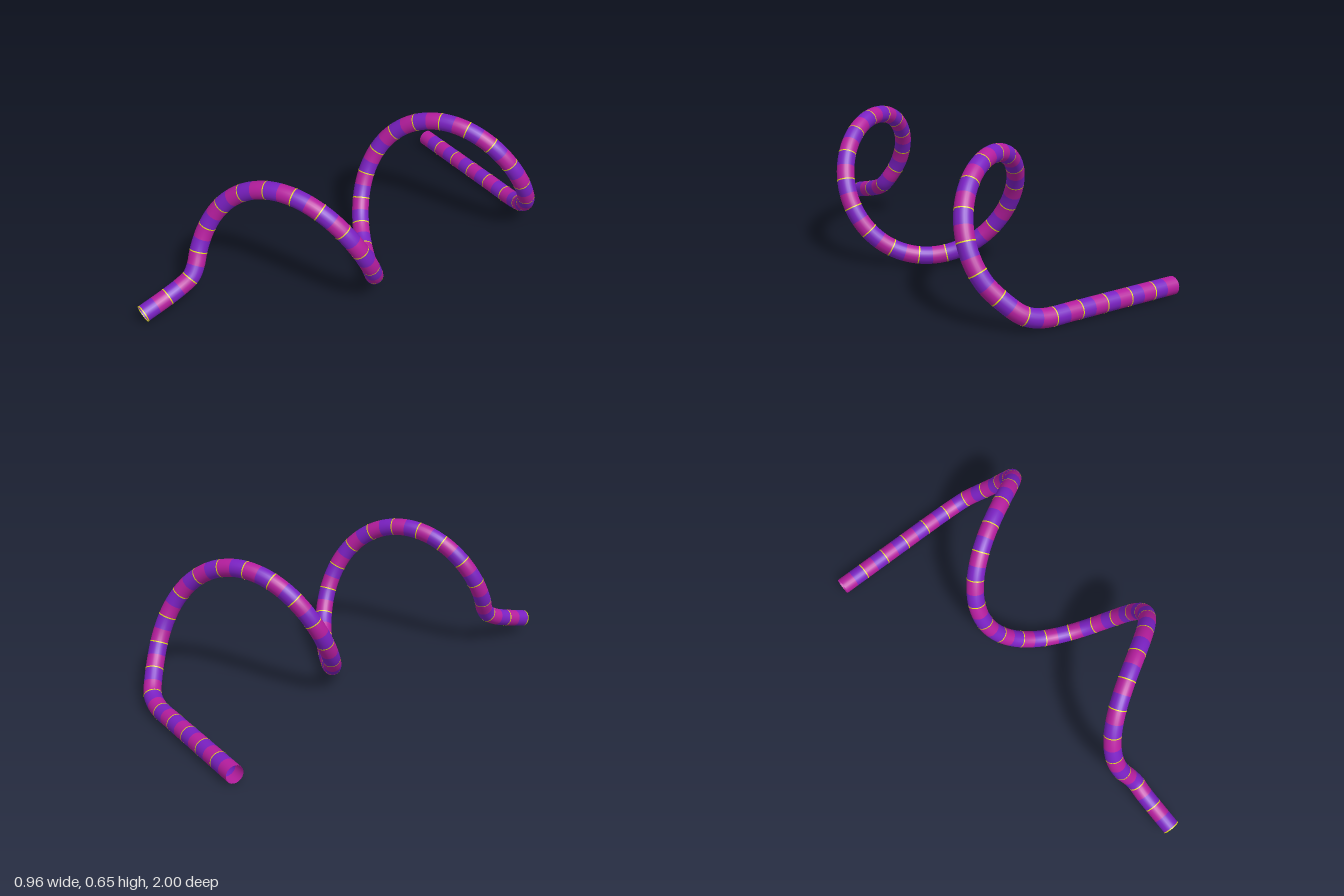
import * as THREE from 'three';

const TUBE_R = 0.04, PERIODS = 36, STEPS = 6, SIDES = 24;

function flat(name, color) {
  const m = new THREE.MeshStandardMaterial({ color, side: THREE.DoubleSide });
  m.name = name;
  return m;
}

// Path: short sloping lead-in, corkscrew along z, then a straight run to the side
function makePath() {
  const pts = [[-0.088, 0.075, 0.992], [-0.088, 0.106, 0.88], [-0.088, 0.133, 0.80], [-0.087, 0.165, 0.743]]
    .map(p => new THREE.Vector3(...p));
  for (let deg = -25; deg <= 570; deg += 8.5) {
    const a = THREE.MathUtils.degToRad(deg);
    pts.push(new THREE.Vector3(
      0.158 - 0.285 * Math.cos(a),
      0.33 + 0.285 * Math.sin(a),
      0.642 - 0.93 * deg / 360));
  }
  for (const p of [[0.355, 0.125, -0.875], [0.29, 0.069, -0.918], [0.21, 0.046, -0.936],
    [0.05, 0.044, -0.944], [-0.15, 0.044, -0.95], [-0.48, 0.044, -0.96]]) pts.push(new THREE.Vector3(...p));
  const curve = new THREE.CatmullRomCurve3(pts, false, 'centripetal');
  curve.arcLengthDivisions = 1500;
  return curve;
}

export function createModel() {
  const group = new THREE.Group();
  group.name = 'spiralTube';
  const purple = flat('purple', 0x7a20c2);
  const magenta = flat('magenta', 0xb51d9e);
  const yellow = flat('yellow', 0xe0e010);
  const path = makePath();

  // Hollow tube, alternating purple and magenta bands
  const bands = PERIODS * 2;
  const geo = new THREE.TubeGeometry(path, bands * STEPS, TUBE_R, SIDES, false);
  const perBand = STEPS * SIDES * 6;
  for (let i = 0; i < bands; i++) geo.addGroup(i * perBand, perBand, i % 2);
  const tube = new THREE.Mesh(geo, [purple, magenta]);
  tube.name = 'bandedTube';
  group.add(tube);

  // Thin seam rings wrapped round the tube at every second band
  const rings = new THREE.Group();
  rings.name = 'seamRings';
  const ringGeo = new THREE.CylinderGeometry(TUBE_R + 0.0007, TUBE_R + 0.0007, 0.005, 32, 1, true);
  const up = new THREE.Vector3(0, 1, 0);
  for (let i = 0; i < PERIODS; i++) {
    const ring = new THREE.Mesh(ringGeo, yellow);
    ring.name = 'seamRing';
    ring.position.copy(path.getPointAt(i / PERIODS));
    ring.quaternion.setFromUnitVectors(up, path.getTangentAt(i / PERIODS));
    rings.add(ring);
  }
  group.add(rings);
  return group;
}
